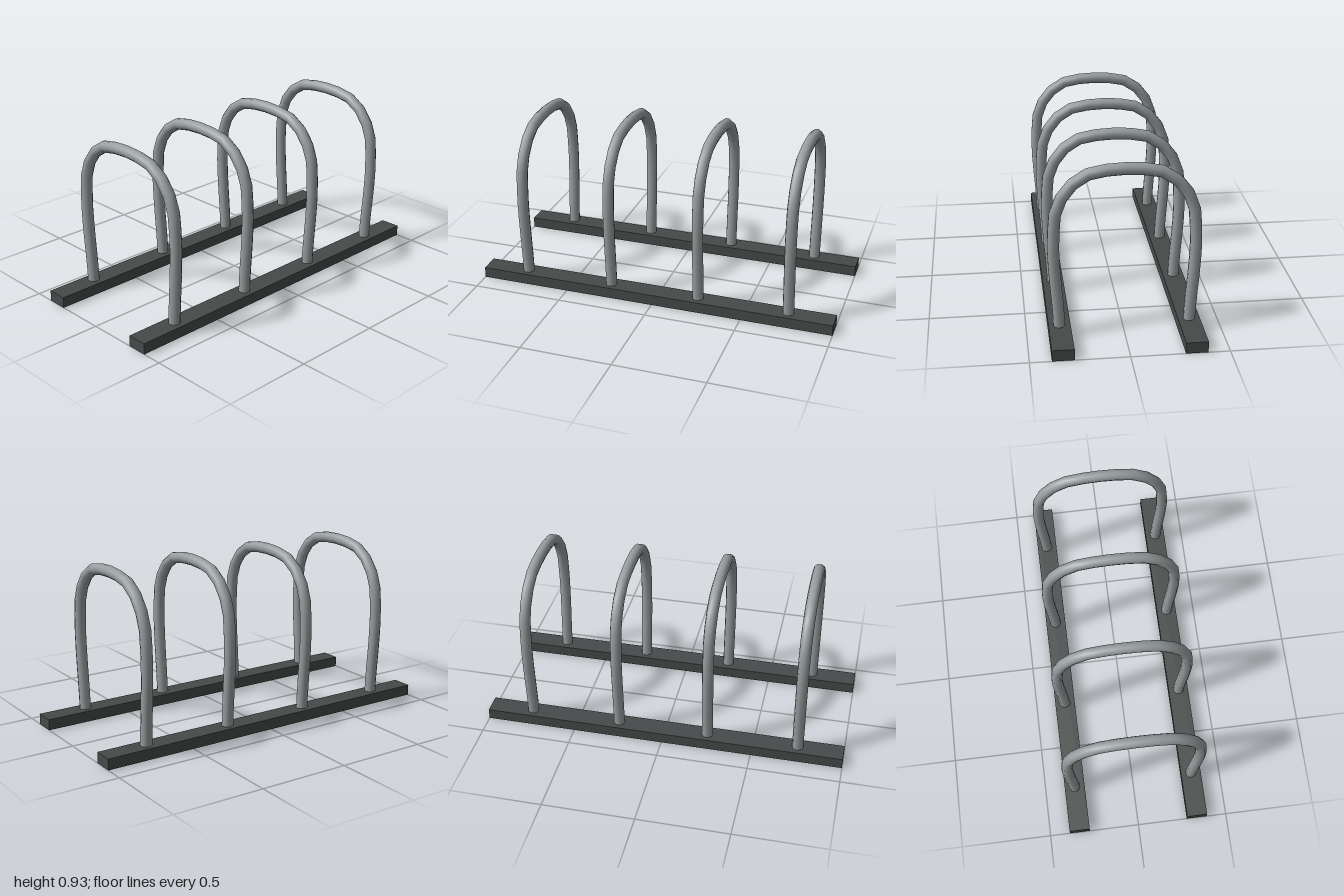
import * as THREE from 'three';

export function createModel() {
  const group = new THREE.Group();
  const steel = new THREE.MeshStandardMaterial({ color: 0x979e9f });
  steel.name = 'galvanised steel';
  const dark = new THREE.MeshStandardMaterial({ color: 0x474a4a });
  dark.name = 'dark rail';

  // Two floor rails
  const railGeometry = new THREE.BoxGeometry(2, 0.06, 0.113);
  for (const side of [1, -1]) {
    const rail = new THREE.Mesh(railGeometry, dark);
    rail.name = side > 0 ? 'frontRail' : 'backRail';
    rail.position.set(0, 0.03, side * 0.333);
    group.add(rail);
  }

  // Hoop centreline: half profile as [z, y], mirrored over the top
  const half = [
    [0.333, 0.03], [0.338, 0.15], [0.352, 0.34], [0.358, 0.48], [0.355, 0.575],
    [0.345, 0.68], [0.315, 0.757], [0.26, 0.828], [0.185, 0.877], [0.094, 0.895],
  ];
  const mirrored = half.map(([z, y]) => [-z, y]).reverse();
  const path = new THREE.CatmullRomCurve3(
    [...half, [0, 0.9], ...mirrored].map(([z, y]) => new THREE.Vector3(0, y, z)),
  );
  const hoopGeometry = new THREE.TubeGeometry(path, 24, 0.031, 10, false);

  // Four hoops along the rails
  for (let i = 0; i < 4; i++) {
    const hoop = new THREE.Mesh(hoopGeometry, steel);
    hoop.name = `hoop${i + 1}`;
    hoop.position.x = -0.75 + i * 0.5;
    group.add(hoop);
  }
  return group;
}
